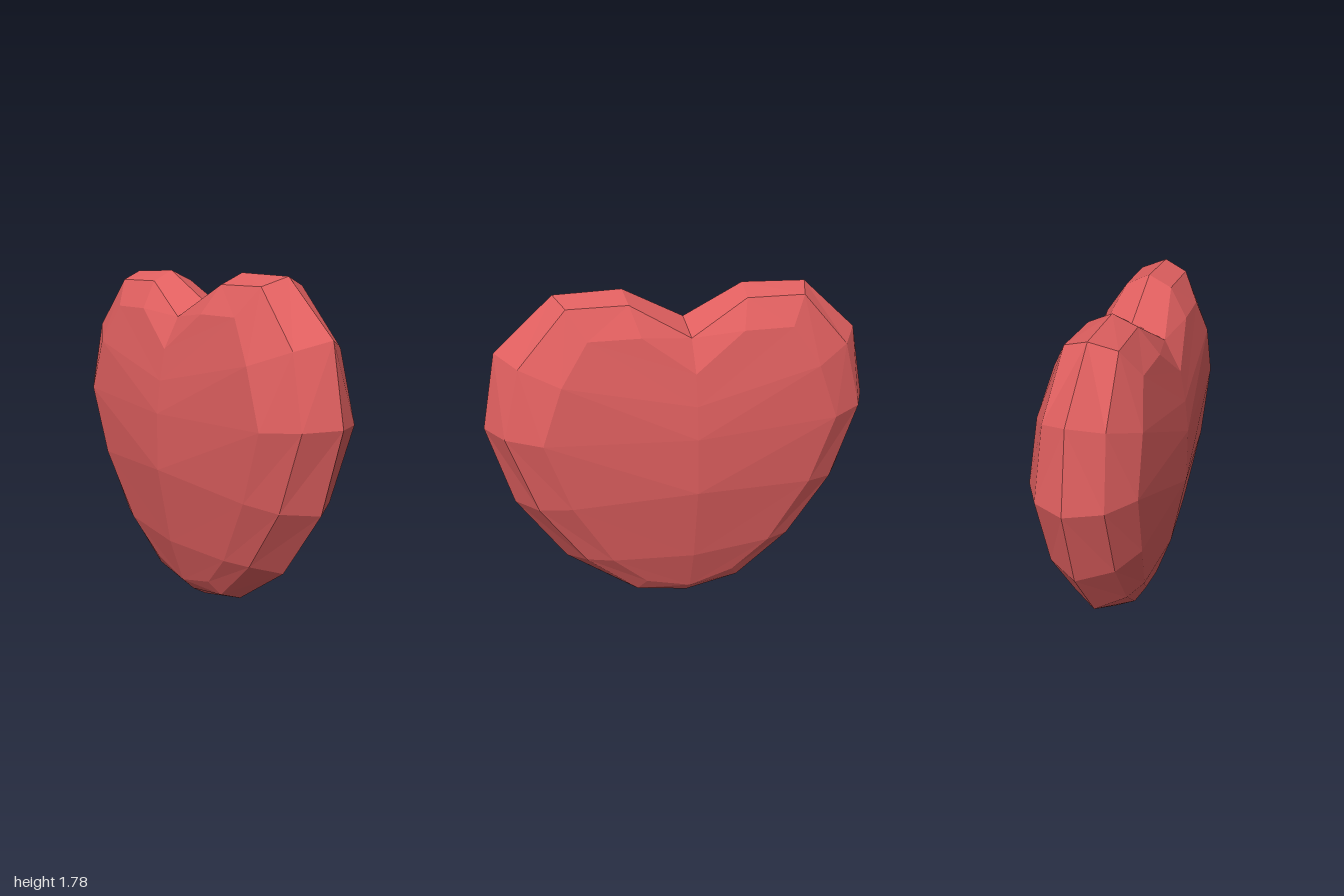
import * as THREE from 'three';

// Half-contours of the heart, from the top notch round to the bottom tip.
// Each point is [across, height, thickness] for one quarter of the body.
const seam = [
  [0, 1.63, 0], [0.31, 1.785, 0], [0.65, 1.775, 0], [0.95, 1.51, 0], [1.03, 1.125, 0],
  [0.91, 0.7, 0], [0.66, 0.335, 0], [0.32, 0.085, 0], [0, 0, 0],
];
const bevel = [
  [0, 1.56, 0.17], [0.3, 1.73, 0.12], [0.605, 1.73, 0.125], [0.85, 1.46, 0.144], [0.94, 1.115, 0.161],
  [0.8, 0.71, 0.16], [0.57, 0.375, 0.145], [0.29, 0.12, 0.105], [0, 0.05, 0.08],
];
const cheek = [
  [0, 1.4, 0.255], [0.26, 1.59, 0.215], [0.52, 1.59, 0.21], [0.66, 1.385, 0.25], [0.765, 1.1, 0.26],
  [0.64, 0.735, 0.245], [0.435, 0.378, 0.2], [0.245, 0.19, 0.155], [0, 0.12, 0.15],
];
// Centre line of the broad face; the ends merge into the cheek contour
const centre = [
  cheek[0], cheek[0], cheek[0], [0, 1.24, 0.285], [0, 1.07, 0.305],
  [0, 0.77, 0.305], [0, 0.36, 0.23], cheek[8], cheek[8],
];

function heartGeometry() {
  const positions = [];
  const addTriangle = (corners, su, st) => {
    const [a, b, c] = corners.map(([u, y, t]) => new THREE.Vector3(u * su, y, t * st));
    const area = b.clone().sub(a).cross(c.clone().sub(a)).length();
    if (area < 1e-6) return;
    const order = su * st > 0 ? [a, b, c] : [a, c, b];
    order.forEach((p) => positions.push(p.x, p.y, p.z));
  };
  const rings = [seam, bevel, cheek, centre];

  // Mirror the quarter across both planes of symmetry
  for (const su of [1, -1]) {
    for (const st of [1, -1]) {
      for (let r = 0; r < 3; r++) {
        const outer = rings[r];
        const inner = rings[r + 1];
        for (let i = 0; i < 8; i++) {
          addTriangle([outer[i], inner[i], inner[i + 1]], su, st);
          addTriangle([outer[i], inner[i + 1], outer[i + 1]], su, st);
        }
      }
    }
  }
  const geometry = new THREE.BufferGeometry();
  geometry.setAttribute('position', new THREE.Float32BufferAttribute(positions, 3));
  geometry.computeVertexNormals();
  return geometry;
}

export function createModel() {
  const group = new THREE.Group();
  group.name = 'heart';
  const material = new THREE.MeshStandardMaterial({ color: 0xdf5f5f, flatShading: true });
  const body = new THREE.Mesh(heartGeometry(), material);
  body.name = 'heartBody';
  // The broad faces look sideways, turned a little off the x axis
  body.rotation.y = -Math.PI / 2 - 0.245;
  group.add(body);
  return group;
}
